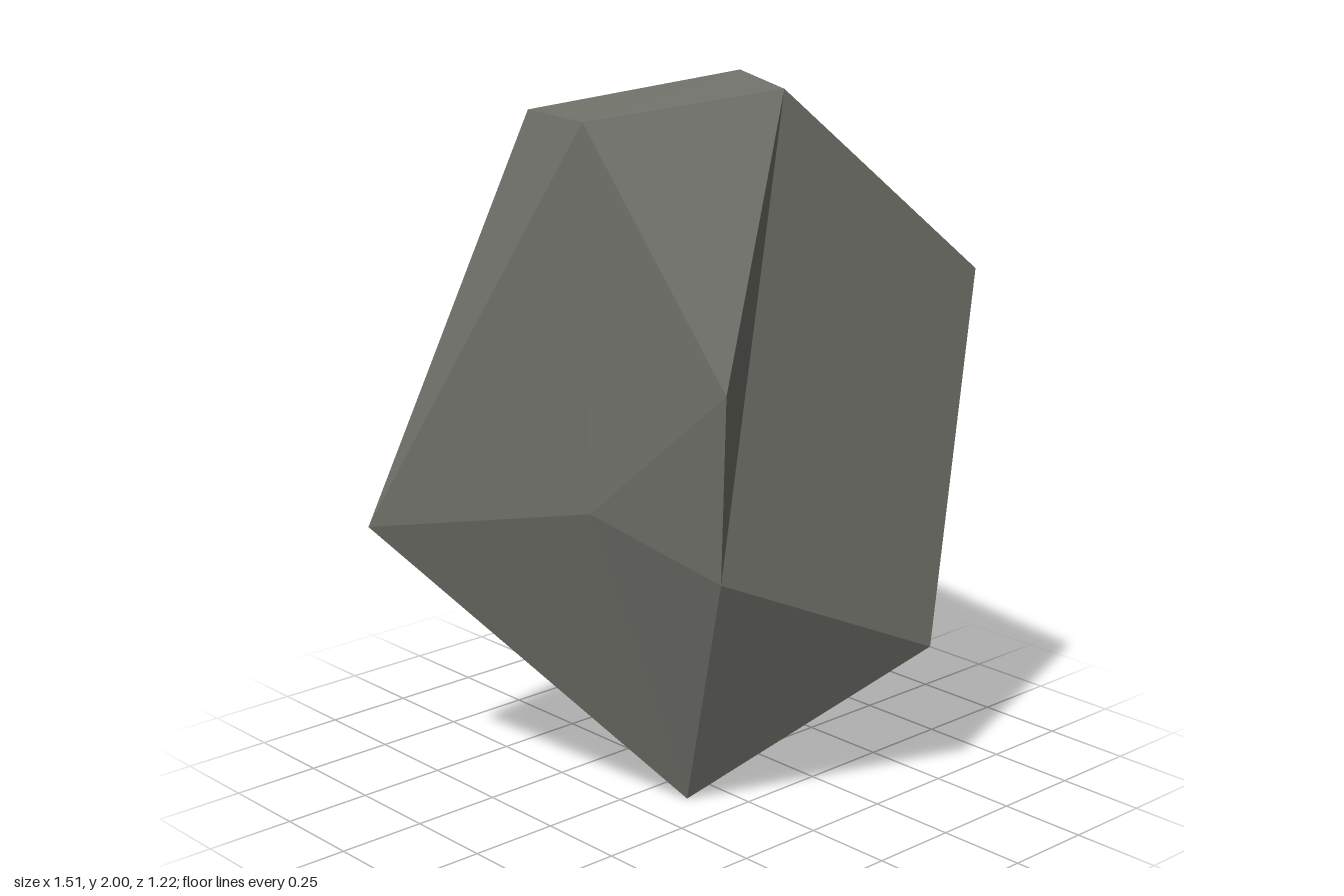
import * as THREE from 'three';

// Corners of the boulder, from the crown down to the foot
const corners = {
  A: [-0.52, 1.93, 0.19], B: [-0.11, 2, 0.47], C: [0.24, 1.96, -0.05], D: [-0.25, 1.87, -0.35],
  E: [-0.31, 1.26, 0.48], F: [0.46, 1.49, 0.61], G: [0.755, 0.81, 0.12], H: [-0.755, 0.8, -0.43],
  I: [0.54, 0.8, -0.43], J: [-0.11, 0.6, -0.61], L: [0.37, 0.45, 0.57],
  M: [-0.25, 0.73, 0.4], N: [-0.45, 0.9, 0.12], K: [-0.11, 0, 0.12],
};

// Facets, as triples of corners
const crown = 'ABC ACD';
const sides = 'ABE BEM BML BLF BFC CFG FLG CGI CID DIJ DJH ADH AHN ANE ENM';
const foot = 'HNK NMK MLK LGK GIK IJK JHK';

function facetGeometry(facets) {
  const centre = new THREE.Vector3(-0.05, 1, 0.05);
  const points = [];
  for (const facet of facets.split(' ')) {
    const [a, b, c] = [...facet].map((k) => new THREE.Vector3(...corners[k]));
    const normal = new THREE.Triangle(a, b, c).getNormal(new THREE.Vector3());
    // Turn every facet to face outwards
    const outward = normal.dot(a.clone().sub(centre)) > 0;
    points.push(...(outward ? [a, b, c] : [a, c, b]));
  }
  const geometry = new THREE.BufferGeometry().setFromPoints(points);
  geometry.computeVertexNormals();
  return geometry;
}

export function createModel() {
  const group = new THREE.Group();
  group.name = 'boulder';
  const stone = new THREE.MeshStandardMaterial({ color: 0x73756d, flatShading: true });
  stone.name = 'grey stone';
  for (const [name, facets] of Object.entries({ crown, sides, foot })) {
    const mesh = new THREE.Mesh(facetGeometry(facets), stone);
    mesh.name = name;
    group.add(mesh);
  }
  return group;
}
